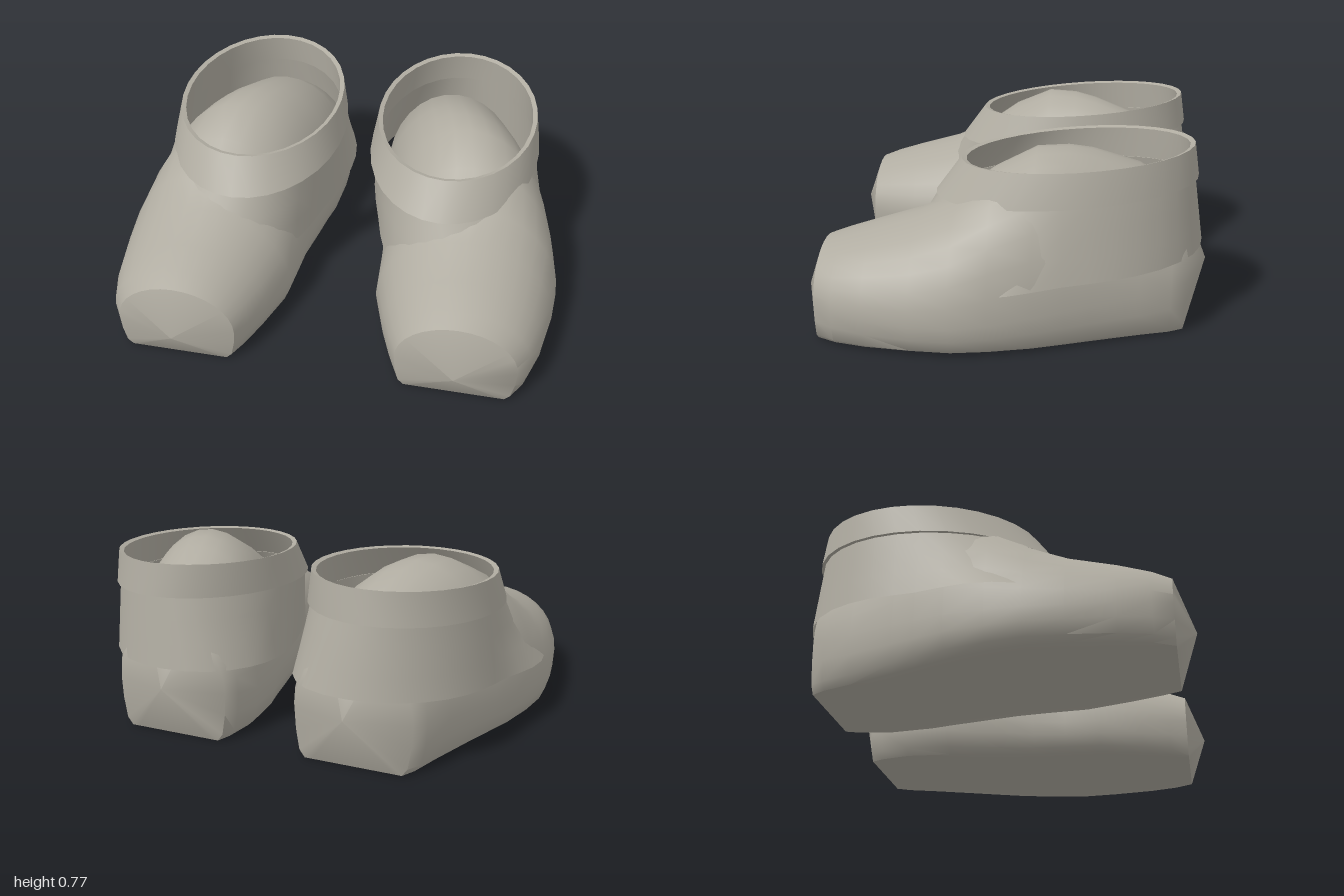
import * as THREE from 'three';
import { toCreasedNormals } from 'three/addons/utils/BufferGeometryUtils.js';

const N = 32;

// Joins rings of N points into a skin, smooth except at sharp edges
function loft(rings, mirror) {
  const pos = [];
  const tri = (...pts) => {
    const [a, b, c] = pts;
    if (a.distanceTo(b) < 1e-5 || b.distanceTo(c) < 1e-5 || c.distanceTo(a) < 1e-5) return;
    if (mirror) pts.reverse();
    for (const p of pts) pos.push(mirror ? -p.x : p.x, p.y, p.z);
  };
  for (let i = 0; i + 1 < rings.length; i++) {
    for (let j = 0; j < N; j++) {
      const k = (j + 1) % N;
      tri(rings[i][j], rings[i][k], rings[i + 1][k]);
      tri(rings[i][j], rings[i + 1][k], rings[i + 1][j]);
    }
  }
  const geo = new THREE.BufferGeometry();
  geo.setAttribute('position', new THREE.Float32BufferAttribute(pos, 3));
  return toCreasedNormals(geo, 0.75);
}

const ring = (fn) => Array.from({ length: N }, (_, j) => fn((j / N) * Math.PI * 2, j / N));

// Foot cross-section: arched top, rounded sides, flat sole
function footSection([z, x0, x1, top, mid]) {
  const cx = (x0 + x1) / 2, w = (x1 - x0) / 2;
  return ring((t) => {
    const s = Math.sin(t);
    const y = s > 0 ? mid + (top - mid) * s : Math.max(0, mid + (mid / 0.45) * s);
    return new THREE.Vector3(cx + w * Math.cos(t), y, z);
  });
}

// Sections from heel to toe: z, inner x, outer x, top, height of widest point
const FOOT = [
  [-0.74, 0.16, 0.67, 0.5, 0.22],
  [-0.68, 0.13, 0.71, 0.57, 0.21],
  [-0.55, 0.1, 0.76, 0.66, 0.19],
  [-0.35, 0.11, 0.84, 0.73, 0.18],
  [-0.25, 0.13, 0.88, 0.75, 0.17],
  [-0.12, 0.15, 0.93, 0.75, 0.16],
  [0.05, 0.18, 0.975, 0.67, 0.14],
  [0.2, 0.19, 1.0, 0.56, 0.13],
  [0.36, 0.2, 0.99, 0.485, 0.13],
  [0.55, 0.26, 0.96, 0.43, 0.14],
  [0.68, 0.31, 0.92, 0.39, 0.15],
  [0.76, 0.35, 0.87, 0.36, 0.16],
];

// Lower hem of the ankle shell (x, z), from the outer side round the front
const HEM = [
  [0.885, -0.24], [0.95, -0.03], [0.95, 0.2], [0.82, 0.42],
  [0.58, 0.5], [0.36, 0.42], [0.21, 0.2], [0.14, -0.02],
  [0.08, -0.25], [0.06, -0.45], [0.1, -0.62], [0.22, -0.77],
  [0.41, -0.82], [0.6, -0.77], [0.75, -0.63], [0.84, -0.44],
];
const hemCurve = new THREE.CatmullRomCurve3(
  HEM.map(([x, z]) => new THREE.Vector3(x, 0.258 - 0.085 * z, z)), true);

// Oval ring lying in a plane that rises towards the heel
const oval = (cz, rx, rz, y) => ring((t) => {
  const z = cz + rz * Math.sin(t);
  return new THREE.Vector3(0.46 + rx * Math.cos(t), y - 0.082 * z, z);
});

function makeShoe(name, mirror, material) {
  const shoe = new THREE.Group();
  shoe.name = name;
  const add = (part, rings) => {
    const mesh = new THREE.Mesh(loft(rings, mirror), material);
    mesh.name = part;
    shoe.add(mesh);
  };
  // The right shoe's upper is slightly wider
  const fit = (r) => {
    if (mirror) for (const p of r) p.x = 0.47 + (p.x - 0.46) * 1.04;
    return r;
  };

  // Foot body with pointed heel and toe
  const tip = (x, y, z) => ring(() => new THREE.Vector3(x, y, z));
  add('footBody', [tip(0.41, 0.24, -0.84), ...FOOT.map(footSection), tip(0.61, 0.15, 0.84)]);

  // Ankle shell flaring from the cuff to the hem
  const top = oval(-0.24, 0.375, 0.535, 0.57);
  const hem = ring((t, u) => hemCurve.getPoint(u));
  const shellRings = [0, 0.33, 0.67, 1].map((f) => fit(top.map((p, j) => p.clone().lerp(hem[j], f))));
  add('ankleShell', shellRings);

  // Cuff: inner wall, rim, outer wall and bottom lip
  add('cuff', [
    oval(-0.24, 0.365, 0.525, 0.568),
    oval(-0.285, 0.345, 0.465, 0.7),
    oval(-0.285, 0.365, 0.485, 0.706),
    oval(-0.24, 0.39, 0.55, 0.565),
    oval(-0.24, 0.37, 0.53, 0.565),
  ].map(fit));
  return shoe;
}

export function createModel() {
  const felt = new THREE.MeshStandardMaterial({ color: 0xb0aca1, side: THREE.DoubleSide });
  felt.name = 'warmGrey';
  const model = new THREE.Group();
  model.name = 'pairOfSlippers';
  model.add(makeShoe('leftShoe', false, felt), makeShoe('rightShoe', true, felt));
  return model;
}
